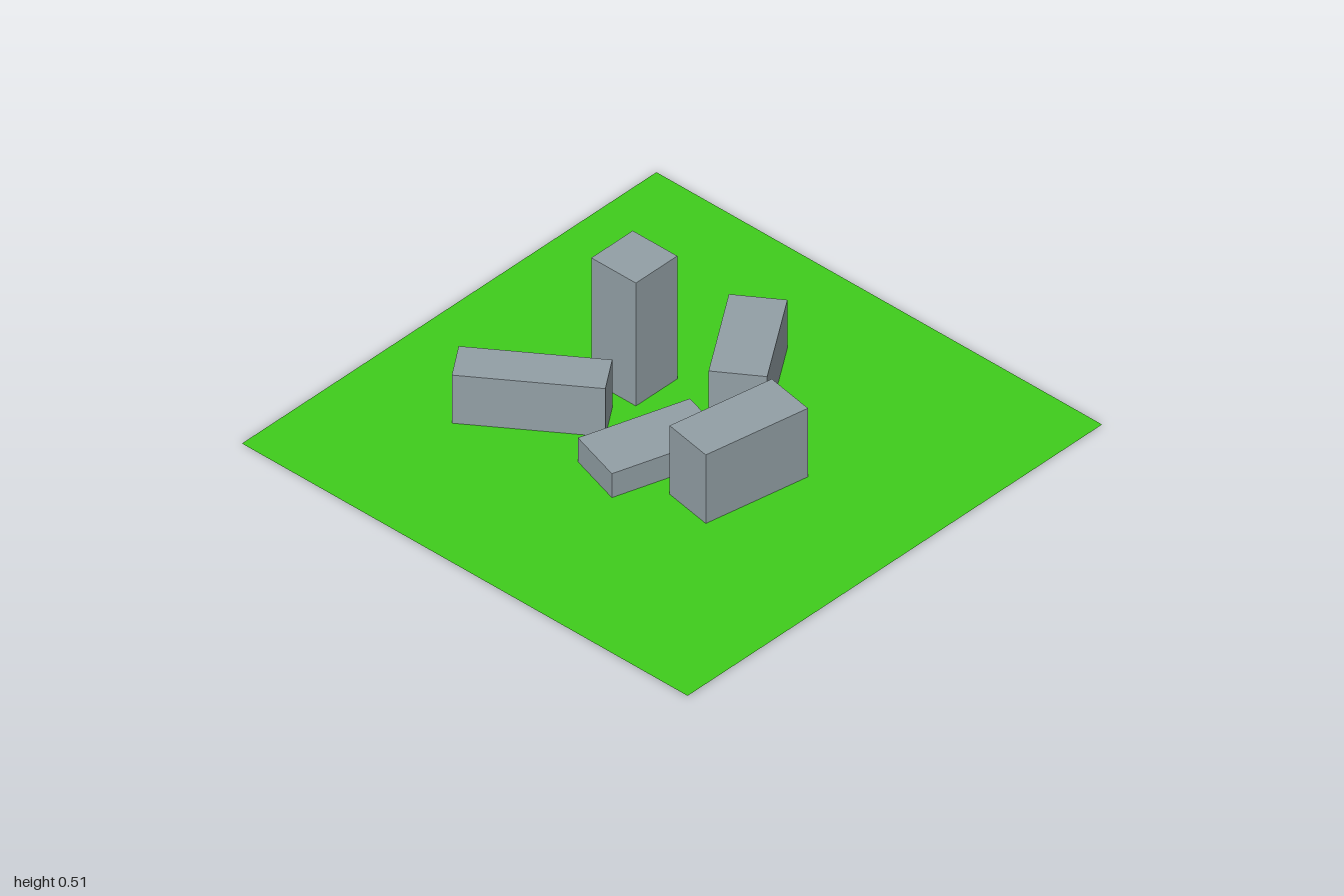
import * as THREE from 'three';

export function createModel() {
  const group = new THREE.Group();
  group.name = 'blocksOnLawn';

  // Flat square lawn, a hair above zero so the block undersides show below it
  const lawn = new THREE.Mesh(
    new THREE.PlaneGeometry(2, 2).rotateX(-Math.PI / 2),
    new THREE.MeshStandardMaterial({ color: 0x3fcc1c, side: THREE.DoubleSide })
  );
  lawn.name = 'lawn';
  lawn.position.y = 0.001;
  group.add(lawn);

  // Stone blocks: width, height and depth, centre x and z, turn about y
  const stone = new THREE.MeshStandardMaterial({ color: 0x929fa5 });
  const addBlock = (name, w, h, d, x, z, turn) => {
    const block = new THREE.Mesh(new THREE.BoxGeometry(w, h, d), stone);
    block.name = name;
    block.position.set(x, h / 2, z);
    block.rotation.y = turn;
    group.add(block);
  };
  addBlock('towerBlock', 0.2, 0.51, 0.2, -0.29, -0.13, 0);
  addBlock('backBlock', 0.195, 0.2, 0.42, -0.003, -0.37, 0.59);
  addBlock('longBlock', 0.158, 0.2, 0.51, -0.405, 0.24, -0.966);
  addBlock('lowBlock', 0.224, 0.1, 0.425, 0.045, 0.15, -0.3);
  addBlock('sideBlock', 0.198, 0.285, 0.42, 0.35, 0.054, -0.178);

  return group;
}
